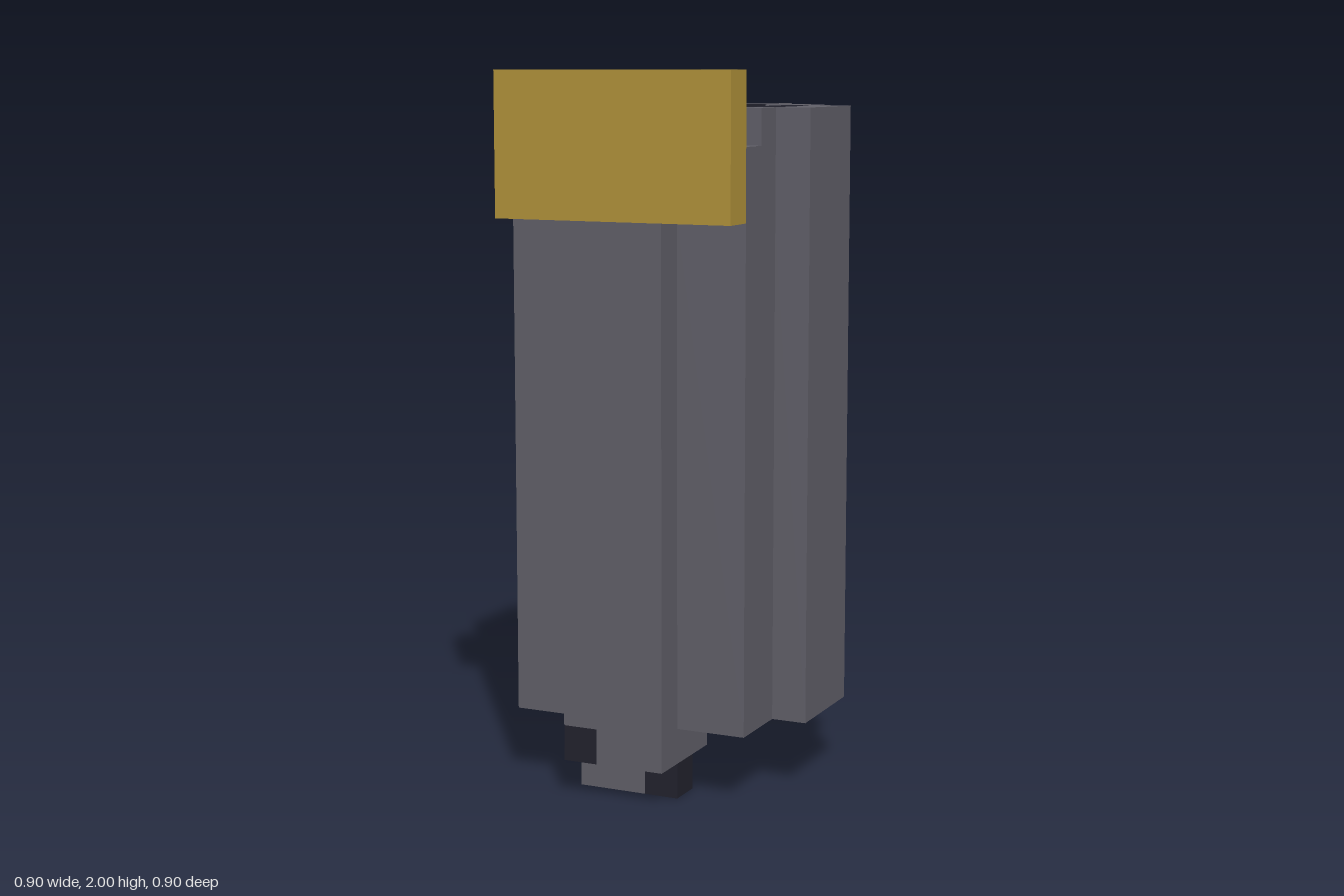
import * as THREE from 'three';

export function createModel() {
  const model = new THREE.Group();
  const mat = (name, color) => {
    const m = new THREE.MeshStandardMaterial({ color });
    m.name = name;
    return m;
  };
  const gray = mat('stoneGray', 0x62616a);
  const dark = mat('darkPatch', 0x22222d);
  const gold = mat('gold', 0xb3943b);

  const add = (name, geometry, material) => {
    const mesh = new THREE.Mesh(geometry, material);
    mesh.name = name;
    model.add(mesh);
    return mesh;
  };
  // Box given by its limits on each axis
  const box = (name, material, x0, x1, y0, y1, z0, z1) =>
    add(name, new THREE.BoxGeometry(x1 - x0, y1 - y0, z1 - z0), material)
      .position.set((x0 + x1) / 2, (y0 + y1) / 2, (z0 + z1) / 2);

  const toPoints = (list) => list.map(([x, z]) => new THREE.Vector2(x, -z));

  // Hollow stepped tube; frontZ is the depth of the front rib
  function tube(name, y0, y1, frontZ) {
    const front = [[-0.35, 0.35], [-0.15, 0.35], [-0.15, frontZ], [0.15, frontZ], [0.15, 0.35], [0.35, 0.35]];
    const flatFront = [[-0.35, 0.35], [0.35, 0.35]];
    const shape = new THREE.Shape(toPoints([
      ...(frontZ > 0.35 ? front : flatFront),
      [0.35, 0.15], [0.45, 0.15], [0.45, -0.15], [0.35, -0.15], [0.35, -0.35],
      [0.15, -0.35], [0.15, -0.45], [-0.15, -0.45], [-0.15, -0.35], [-0.35, -0.35],
      [-0.35, -0.15], [-0.45, -0.15], [-0.45, 0.15], [-0.35, 0.15],
    ]));
    shape.holes.push(new THREE.Path(toPoints([
      [-0.15, 0.25], [-0.15, 0.15], [-0.25, 0.15], [-0.25, -0.15], [-0.15, -0.15], [-0.15, -0.25],
      [0.15, -0.25], [0.15, -0.15], [0.25, -0.15], [0.25, 0.15], [0.15, 0.15], [0.15, 0.25],
    ])));
    const g = new THREE.ExtrudeGeometry(shape, { depth: y1 - y0, bevelEnabled: false });
    g.rotateX(-Math.PI / 2);
    g.translate(0, y0, 0);
    add(name, g, gray);
  }
  tube('tubeBody', 0.2, 1.6, 0.45);
  tube('tubeNeck', 1.6, 1.8, 0.35);

  // Top rim, one step high, with lowered corners
  const rim = (name, material, x0, x1, z0, z1) => box(name, material, x0, x1, 1.8, 1.9, z0, z1);
  rim('rightRim', gray, -0.35, -0.25, -0.25, 0.25);
  rim('rightRimPatch', dark, -0.45, -0.35, -0.15, 0.15);
  rim('leftRim', gray, 0.35, 0.45, -0.15, 0.15);
  rim('leftRimPatch', dark, 0.25, 0.35, -0.15, 0.15);
  rim('backRimRib', gray, -0.15, 0.15, -0.45, -0.35);
  for (const [side, z] of [['front', 0.3], ['back', -0.3]]) {
    rim(side + 'Rim', gray, -0.25, 0.05, z - 0.05, z + 0.05);
    rim(side + 'RimPatch', dark, 0.05, 0.15, z - 0.05, z + 0.05);
    rim(side + 'RimEnd', gray, 0.15, 0.25, z - 0.05, z + 0.05);
    const zc = Math.sign(z) * 0.2;
    rim(side + 'RimCorner', gray, 0.25, 0.35, zc - 0.05, zc + 0.05);
  }

  // Front plate
  box('frontPlate', gold, -0.35, 0.35, 1.6, 2, 0.35, 0.45);

  // Stepped foot under the front wall
  box('footUpper', gray, -0.05, 0.15, 0.1, 0.2, 0.15, 0.45);
  box('footUpperPatch', dark, -0.15, -0.05, 0.1, 0.2, 0.15, 0.45);
  box('footLower', gray, -0.15, 0.05, 0, 0.1, 0.25, 0.35);
  box('footLowerPatch', dark, 0.05, 0.15, 0, 0.1, 0.25, 0.35);

  // Short posts inside, above the foot
  for (const s of [-1, 1]) {
    box('innerPost', gray, s * 0.1 - 0.05, s * 0.1 + 0.05, 0.2, 0.4, 0.15, 0.25);
  }
  return model;
}
